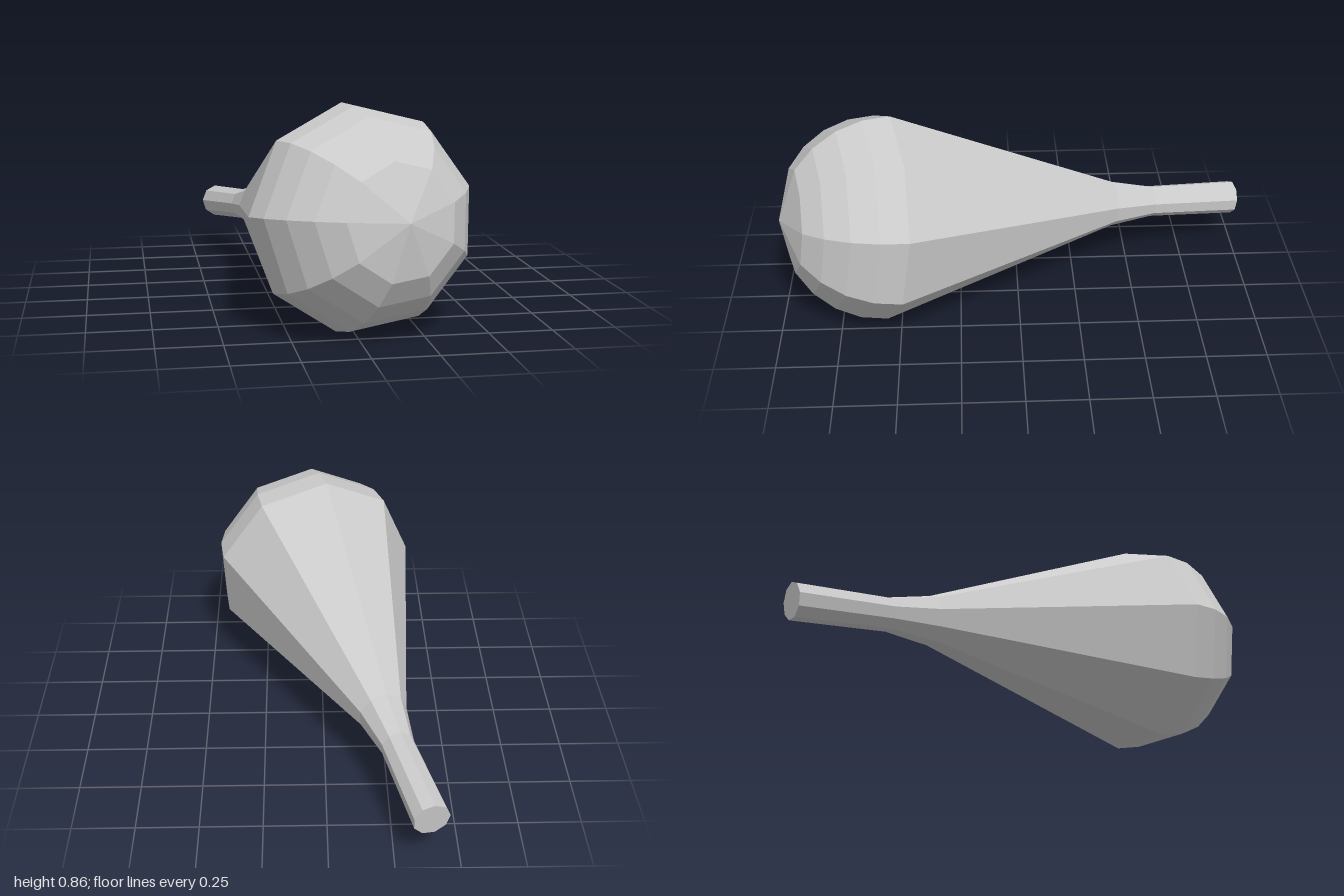
import * as THREE from 'three';

export function createModel() {
  const group = new THREE.Group();
  const SIDES = 9, R = 0.44, BELLY = 1.61;

  // Profile along the axis: capped handle, neck, flaring cone
  const profile = [[0, 0], [0.073, 0], [0.068, 0.4], [0.1, 0.59]]
    .map(([r, t]) => new THREE.Vector2(r, t));
  // Rounded head in 15 degree steps, closed by a shallow nine-sided tip
  for (let i = 0; i <= 4; i++) {
    const a = (i * Math.PI) / 12;
    profile.push(new THREE.Vector2(R * Math.cos(a), BELLY + R * Math.sin(a)));
  }
  profile.push(new THREE.Vector2(0, BELLY + R));

  const geometry = new THREE.LatheGeometry(profile, SIDES);
  geometry.rotateX(Math.PI / 2); // axis towards the front
  geometry.rotateZ(THREE.MathUtils.degToRad(26.4)); // roll of the facets

  const body = new THREE.Mesh(
    geometry,
    new THREE.MeshStandardMaterial({ color: 0xcccccc, flatShading: true })
  );
  body.name = 'bulbBody';
  // Lying tilted: thin handle low at the back, round head at the front
  const axis = new THREE.Vector3(0.254, 0.122, 0.96).normalize();
  body.quaternion.setFromUnitVectors(new THREE.Vector3(0, 0, 1), axis);
  body.position.set(-0.38, 0.225, -0.985);
  group.add(body);
  return group;
}
